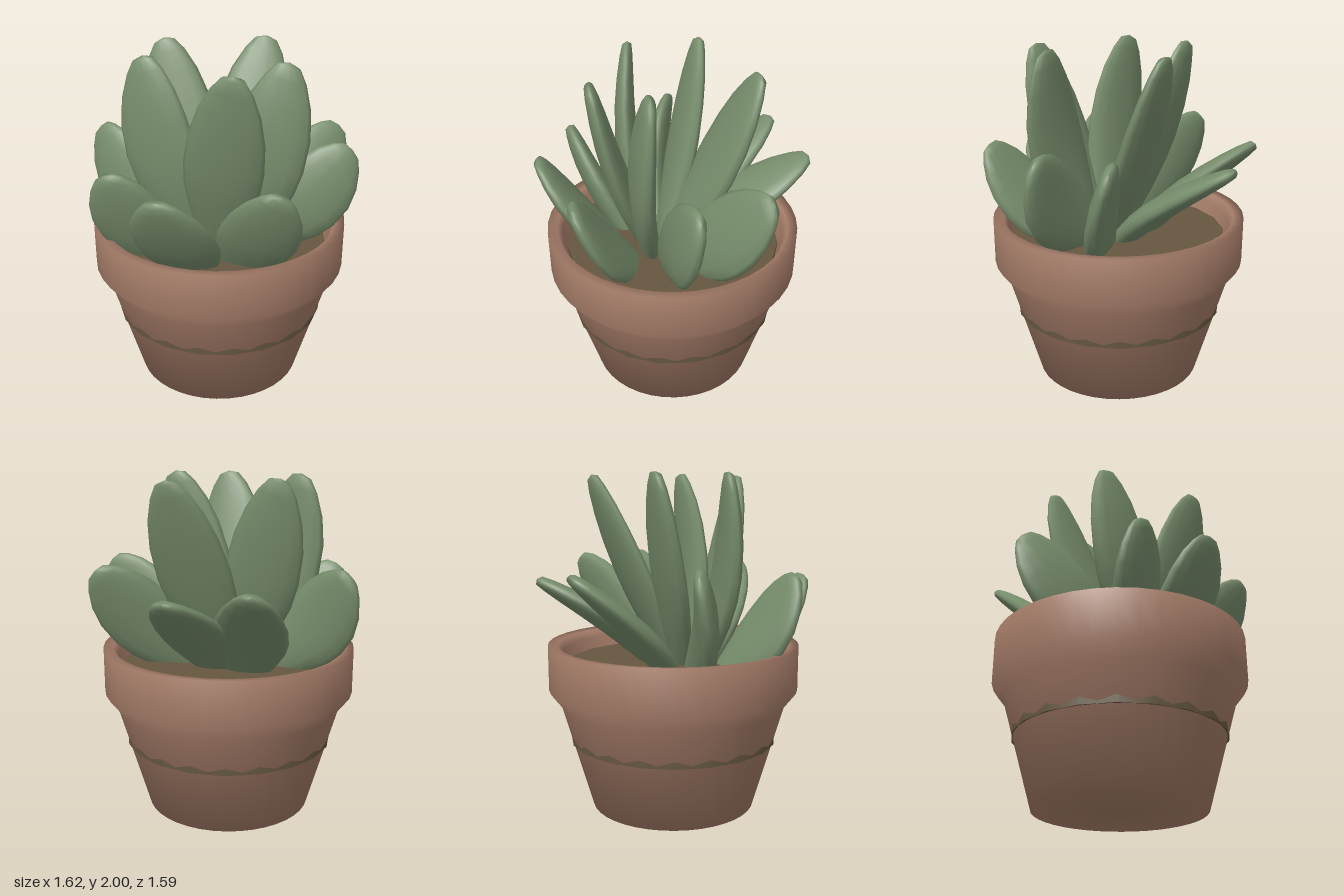
import * as THREE from 'three';

const mat = (name, color) => {
  const m = new THREE.MeshStandardMaterial({ color });
  m.name = name;
  return m;
};

// Half-width of a leaf along its length: [t, fraction of full half-width]
const PROFILE = [[0, 0], [0.01, 0.35], [0.15, 0.6], [0.3, 0.83], [0.43, 0.97], [0.55, 1],
  [0.7, 0.93], [0.83, 0.75], [0.93, 0.5], [0.985, 0.28], [1, 0]];
const SIDES = 14;

// Fleshy leaf: oval cross-sections swept from base to tip.
// across = horizontal [x, z] direction of the blade's width, bend = [x, z] bow at mid-length
function leafGeometry(base, tip, across, width, thick, bend) {
  const a = new THREE.Vector3(...base), b = new THREE.Vector3(...tip);
  const axis = b.clone().sub(a).normalize();
  const u = new THREE.Vector3(across[0], 0, across[1]);
  u.addScaledVector(axis, -u.dot(axis)).normalize();
  const n = new THREE.Vector3().crossVectors(axis, u);
  const pos = [], idx = [];
  PROFILE.forEach(([t, f]) => {
    const c = a.clone().lerp(b, t);
    const bow = Math.sin(Math.PI * t);
    c.x += bend[0] * bow;
    c.z += bend[1] * bow;
    const th = thick * Math.sqrt(f) * (1.05 - 0.4 * t);
    for (let j = 0; j < SIDES; j++) {
      const q = (j / SIDES) * Math.PI * 2;
      const p = c.clone().addScaledVector(u, Math.cos(q) * width * f)
        .addScaledVector(n, Math.sin(q) * th);
      pos.push(p.x, p.y, p.z);
    }
  });
  for (let i = 0; i < PROFILE.length - 1; i++) {
    for (let j = 0; j < SIDES; j++) {
      const k = (j + 1) % SIDES;
      const p = i * SIDES + j, q = i * SIDES + k;
      idx.push(p, q, p + SIDES, q, q + SIDES, p + SIDES);
    }
  }
  const g = new THREE.BufferGeometry();
  g.setAttribute('position', new THREE.Float32BufferAttribute(pos, 3));
  g.setIndex(idx);
  g.computeVertexNormals();
  return g;
}

export function createModel() {
  const model = new THREE.Group();
  model.name = 'pottedSucculent';
  const clay = mat('terracotta', 0xa67d69);
  const earth = mat('soil brown', 0x655640);
  const green = mat('leaf green', 0x778d6c);

  // Flowerpot with a thick flared rim, softly shaded throughout
  const outline = [[0, 0], [0.495, 0], [0.68, 0.64], [0.75, 0.73], [0.75, 1],
    [0.69, 0.995], [0.665, 0.95], [0.62, 0.8]].map(([r, y]) => new THREE.Vector2(r, y));
  const pot = new THREE.Mesh(new THREE.LatheGeometry(outline, 40), clay);
  pot.position.set(-0.005, 0, 0.01);
  pot.name = 'pot';
  model.add(pot);

  // Soil plug, its lower edge showing as a thin band around the pot
  const soil = new THREE.Mesh(new THREE.CylinderGeometry(0.64, 0.625, 0.475, 20), earth);
  soil.position.set(-0.005, 0.6475, 0.01);
  soil.name = 'soil';
  model.add(soil);

  // Leaves: base, tip, width direction, half-width, bend
  const tall = [
    [[0, 0.8, 0.13], [0.16, 1.99, 0.48], [1, 0.05], 0.225, [0, 0.04]],
    [[-0.06, 0.8, 0.15], [-0.39, 2, 0.2], [1, 0.13], 0.22, [-0.05, 0.06]],
    [[0.06, 0.8, 0.15], [0.41, 2, 0.2], [1, 0], 0.225, [0.04, 0.06]],
    [[-0.02, 0.8, 0.07], [-0.38, 2, -0.22], [1, -0.03], 0.22, [-0.03, -0.02]],
    [[0.03, 0.8, 0.07], [0.2, 1.99, -0.43], [1, -0.12], 0.225, [0, -0.02]],
  ];
  const short = [
    [[-0.06, 0.7, 0.24], [-0.19, 1.4, 0.78], [1, -0.04], 0.235, [0, 0.05]],
    [[-0.16, 0.72, 0.2], [-0.53, 1.43, 0.56], [1, -0.2], 0.22, [-0.04, 0.04]],
    [[0.1, 0.72, 0.2], [0.44, 1.42, 0.63], [1, 0.08], 0.22, [0.02, 0.04]],
    [[-0.1, 0.8, 0.09], [-0.76, 1.47, -0.11], [1, 0.28], 0.225, [-0.09, 0.03]],
    [[0.05, 0.82, 0.07], [0.76, 1.47, 0.01], [1, -0.05], 0.225, [0.09, 0.03]],
    [[-0.1, 0.76, 0], [-0.38, 1.45, -0.69], [1, -0.05], 0.215, [0, 0.06]],
    [[0.03, 0.8, 0], [0.07, 1.4, -0.79], [1, -0.1], 0.215, [0, 0.07]],
    [[0.1, 0.78, 0.03], [0.66, 1.47, -0.4], [1, -0.45], 0.23, [0.05, 0]],
  ];
  const addLeaves = (list, name, thick) => {
    const group = new THREE.Group();
    group.name = name;
    list.forEach(([base, tip, across, width, bend], i) => {
      const leaf = new THREE.Mesh(leafGeometry(base, tip, across, width, thick, bend), green);
      leaf.name = `${name}${i + 1}`;
      group.add(leaf);
    });
    model.add(group);
  };
  addLeaves(tall, 'innerLeaf', 0.08);
  addLeaves(short, 'outerLeaf', 0.085);
  return model;
}
